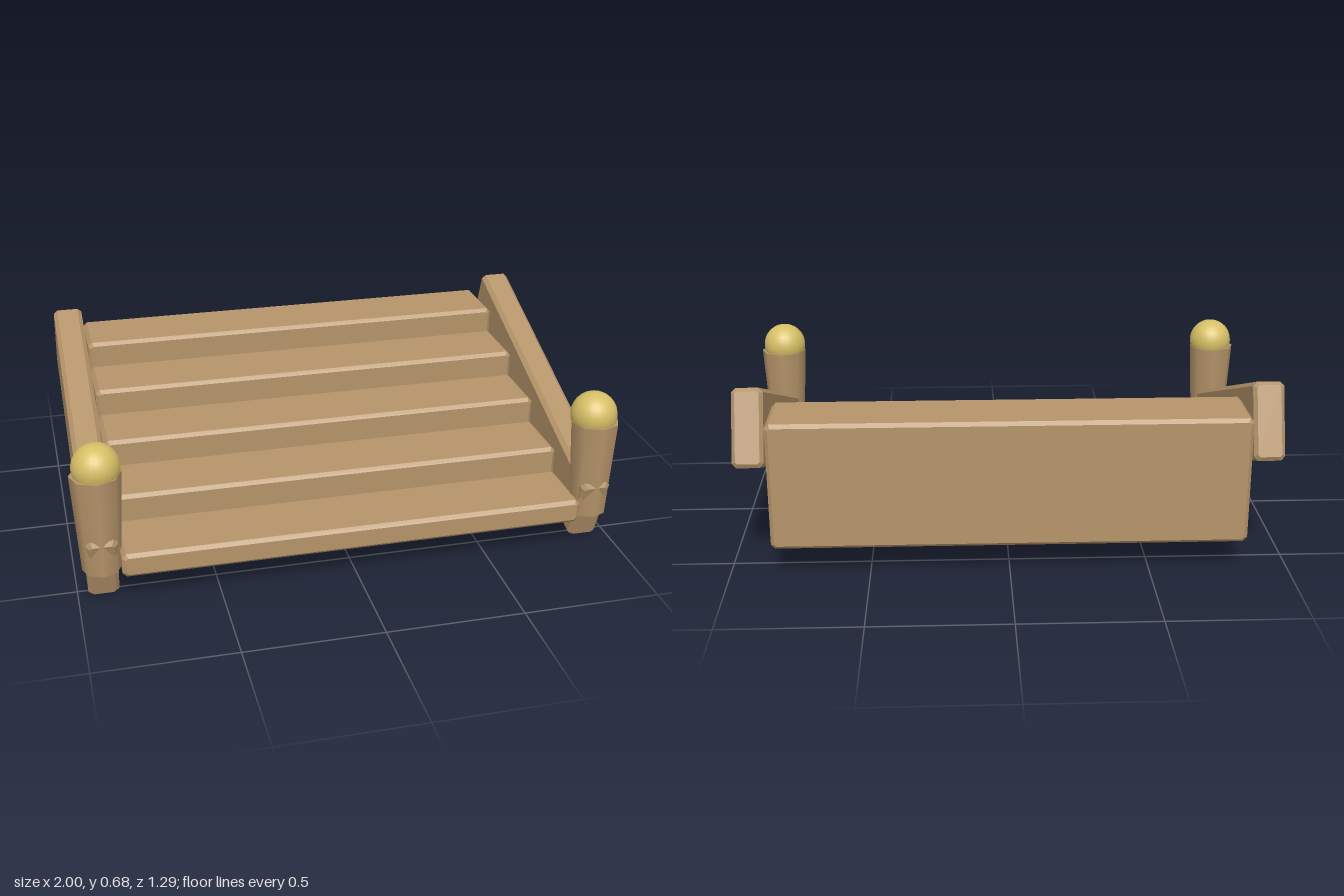
import * as THREE from 'three';

// Box with chamfered edges, centred on the origin
function chamferBox(w, h, d, c) {
  const x = w / 2 - c, y = h / 2 - c, k = c * 0.6;
  const s = new THREE.Shape();
  s.moveTo(-x + k, -y);
  s.lineTo(x - k, -y);
  s.lineTo(x, -y + k);
  s.lineTo(x, y - k);
  s.lineTo(x - k, y);
  s.lineTo(-x + k, y);
  s.lineTo(-x, y - k);
  s.lineTo(-x, -y + k);
  s.closePath();
  const geo = new THREE.ExtrudeGeometry(s, {
    depth: d - 2 * c, bevelEnabled: true, bevelSize: c, bevelThickness: c, bevelSegments: 1,
  });
  return geo.translate(0, 0, -d / 2 + c);
}

export function createModel() {
  const group = new THREE.Group();
  group.name = 'woodenStairs';
  const wood = new THREE.MeshStandardMaterial({ color: 0xb5946a });
  wood.name = 'wood';
  const gold = new THREE.MeshStandardMaterial({ color: 0xd6bf66 });
  gold.name = 'gold';

  const add = (name, geo, mat, x, y, z) => {
    const mesh = new THREE.Mesh(geo, mat);
    mesh.name = name;
    mesh.position.set(x, y, z);
    group.add(mesh);
    return mesh;
  };

  // Five solid steps, each taller than the one in front
  const bottom = 0.13, depth = 0.256;
  for (let i = 0; i < 5; i++) {
    const h = 0.09 + i * 0.094;
    add('step' + (i + 1), chamferBox(1.69, h, depth, 0.013), wood,
      0, bottom + h / 2, 0.512 - i * depth);
  }

  // Sloping side rails, front posts and round finials
  for (const [side, sx] of [['left', 1], ['right', -1]]) {
    const rail = add(side + 'Rail', chamferBox(0.11, 0.278, 1.25, 0.013), wood, sx * 0.908, 0.355, 0);
    rail.rotation.x = THREE.MathUtils.degToRad(20.1);
    add(side + 'Post', new THREE.CylinderGeometry(0.09, 0.069, 0.37, 8), wood, sx * 0.91, 0.321, 0.556);
    add(side + 'Finial', new THREE.SphereGeometry(0.085, 24, 16), gold, sx * 0.905, 0.531, 0.554);
  }
  return group;
}
